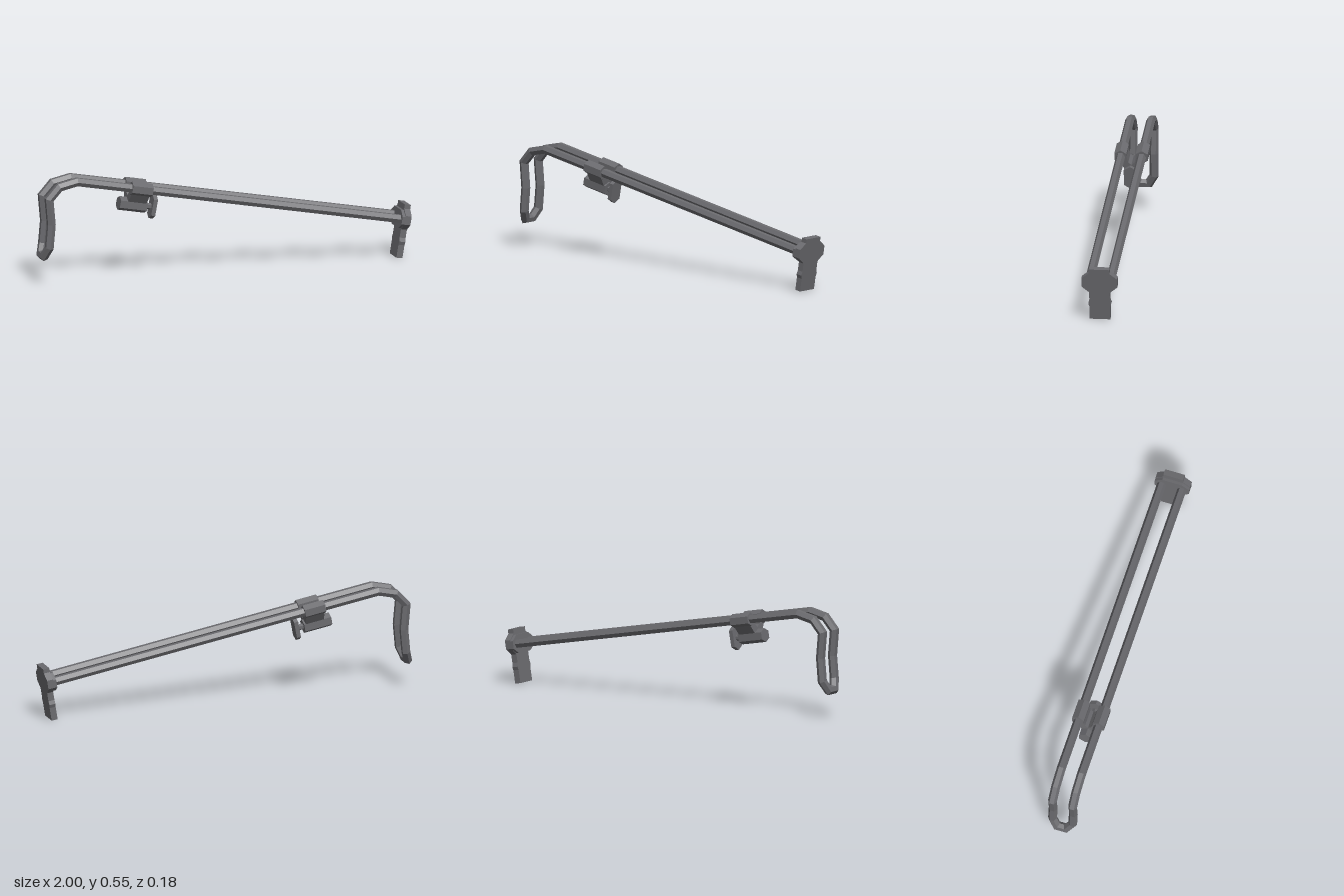
import * as THREE from 'three';

const steel = new THREE.MeshStandardMaterial({ color: 0x6a6a6e, flatShading: true });
steel.name = 'gunmetal grey';
const TILT = -0.185; // slope of the rods

function part(name, geometry, parent) {
  const mesh = new THREE.Mesh(geometry, steel);
  mesh.name = name;
  parent.add(mesh);
  return mesh;
}

// Prism along x with a [z, y] outline
function prism(points, length) {
  const shape = new THREE.Shape(points.map(([z, y]) => new THREE.Vector2(z, y)));
  return new THREE.ExtrudeGeometry(shape, { depth: length, bevelEnabled: false })
    .translate(0, 0, -length / 2).rotateY(Math.PI / 2);
}

// Mirror a right-hand outline (top to bottom) to the other side
const mirrored = (half) => [...half, ...half.slice().reverse().map(([z, y]) => [-z, y])];

// Upright hexagon: half width, corner height, apex height
const hex = (w, c, h) => [[0, h], [w, c], [w, -c], [0, -h], [-w, -c], [-w, c]];

// Hexagonal bar swept along a path with mitred joints
function sweepBar(path, radius, sides = 6) {
  const dirs = path.slice(1).map((p, i) => p.clone().sub(path[i]).normalize());
  const t0 = dirs[0];
  const b = new THREE.Vector3(0, 0, 1).cross(t0).cross(t0).normalize();
  const n = b.clone().cross(t0).normalize();
  const up = new THREE.Vector3().crossVectors(n, t0).normalize();
  if (up.y < 0) up.negate();
  const side = t0.clone().cross(up);
  let ring = [];
  for (let j = 0; j < sides; j++) {
    const a = (j / sides) * Math.PI * 2;
    ring.push(path[0].clone().addScaledVector(up, radius * Math.cos(a))
      .addScaledVector(side, radius * Math.sin(a)));
  }
  const pos = [];
  const put = (...vs) => vs.forEach((v) => pos.push(v.x, v.y, v.z));
  for (let j = 0; j < sides; j++) put(path[0], ring[(j + 1) % sides], ring[j]);
  dirs.forEach((d, i) => {
    const end = path[i + 1];
    const plane = d.clone().add(dirs[i + 1] || d).normalize();
    const next = ring.map((p) =>
      p.clone().addScaledVector(d, end.clone().sub(p).dot(plane) / d.dot(plane)));
    for (let j = 0; j < sides; j++) {
      const k = (j + 1) % sides;
      put(ring[j], ring[k], next[k], ring[j], next[k], next[j]);
    }
    ring = next;
  });
  const last = path[path.length - 1];
  for (let j = 0; j < sides; j++) put(last, ring[j], ring[(j + 1) % sides]);
  const g = new THREE.BufferGeometry();
  g.setAttribute('position', new THREE.Float32BufferAttribute(pos, 3));
  g.computeVertexNormals();
  return g;
}

export function createModel() {
  const model = new THREE.Group();
  model.name = 'slidingWireFrame';

  // One bent rod: along one side, round the hook and back along the other
  const half = [
    [0.965, 0.205, 0.054], [-0.81, 0.535, 0.054], [-0.905, 0.514, 0.054],
    [-0.961, 0.452, 0.054], [-0.949, 0.32, 0.054], [-0.96, 0.2, 0.054],
    [-0.978, 0.151, 0.025],
  ];
  const path = [...half, ...half.slice().reverse().map(([x, y, z]) => [x, y, -z])]
    .map((p) => new THREE.Vector3(...p));
  part('bentRod', sweepBar(path, 0.0235), model);

  // End plate, leaning square to the rods
  const end = new THREE.Group();
  end.name = 'endPlate';
  end.position.set(0.933, 0.004, 0);
  end.rotation.z = -0.165;
  model.add(end);
  part('plate', prism(mirrored([
    [0.053, 0.28], [0.053, 0.258], [0.092, 0.228], [0.092, 0.182], [0.053, 0.15],
    [0.053, 0.106], [0.059, 0.086], [0.053, 0.068], [0.053, 0],
  ]), 0.033), end);
  part('plateCollar', prism(mirrored([
    [0.053, 0.25], [0.092, 0.222], [0.092, 0.182], [0.053, 0.155],
  ]), 0.02), end).position.x = -0.022;

  // Slider clamped round both rods
  const slider = new THREE.Group();
  slider.name = 'slider';
  slider.position.set(-0.463, 0.47, 0);
  slider.rotation.z = TILT;
  model.add(slider);
  for (const s of [1, -1]) {
    part(s > 0 ? 'leftSleeve' : 'rightSleeve', prism(hex(0.031, 0.018, 0.036), 0.112), slider)
      .position.z = s * 0.055;
  }
  part('sliderWeb', prism([
    [0, -0.048], [0.016, -0.034], [0.026, 0.005], [0.07, -0.02], [0.033, -0.075], [0.03, -0.09],
    [-0.03, -0.09], [-0.033, -0.075], [-0.07, -0.02], [-0.026, 0.005], [-0.016, -0.034],
  ], 0.1), slider);
  part('lockBody', prism(hex(0.033, 0.019, 0.036), 0.148), slider).position.set(-0.015, -0.093, 0);

  // Thumb lever on a short shaft
  part('leverShaft', prism(hex(0.014, 0.008, 0.016), 0.05), slider).position.set(0.07, -0.092, 0);
  part('thumbLever', prism(hex(0.033, 0.042, 0.062), 0.022), slider).position.set(0.0985, -0.092, 0);

  return model;
}
